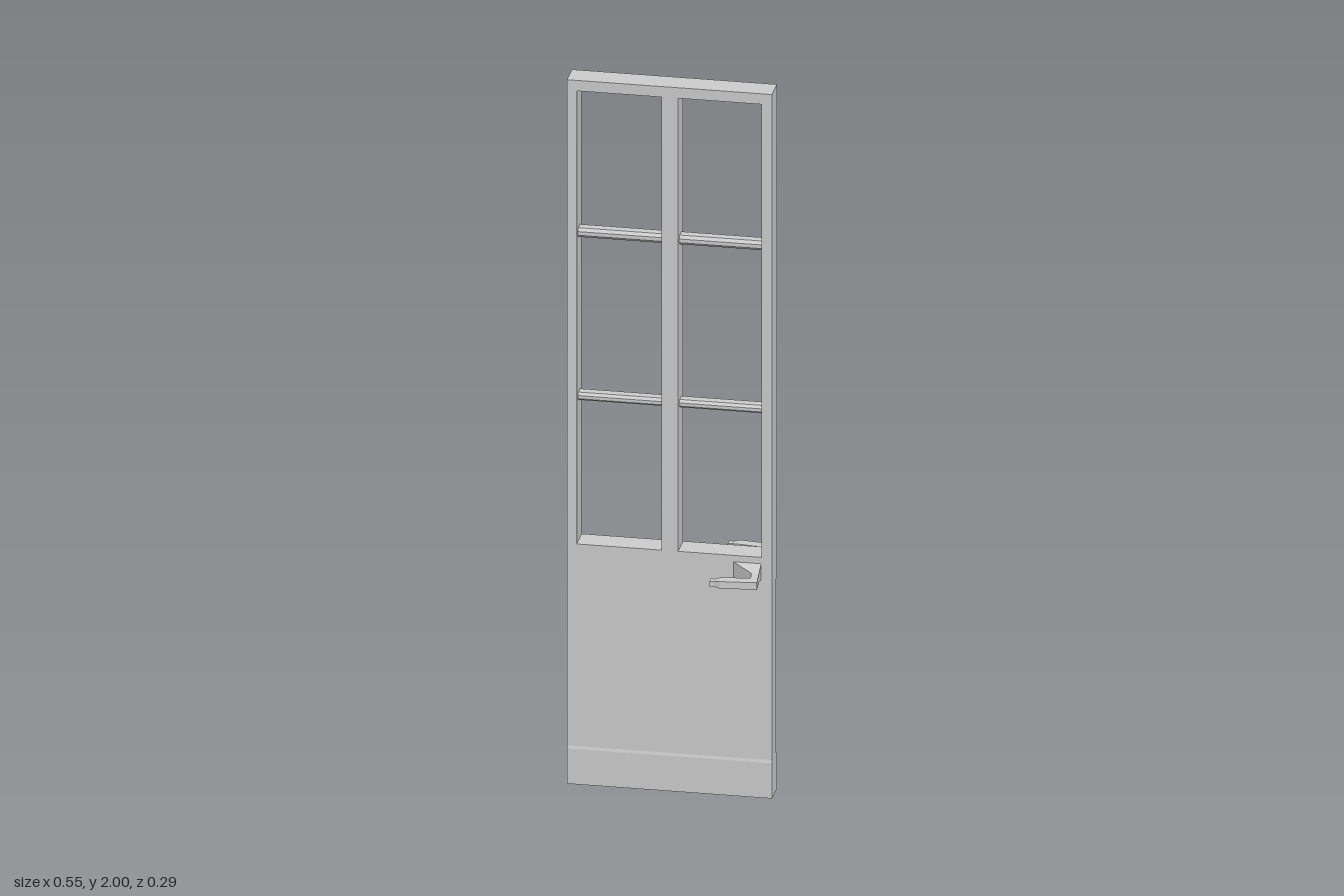
import * as THREE from 'three';

const material = new THREE.MeshStandardMaterial({ color: 0xcccccc, flatShading: true });
const LEFT = 0.272, RIGHT = -0.274, BACK = -0.035, FRONT = 0.035;

export function createModel() {
  const door = new THREE.Group();
  door.name = 'door';

  const add = (name, geometry) => {
    const mesh = new THREE.Mesh(geometry, material);
    mesh.name = name;
    door.add(mesh);
    return mesh;
  };

  // Box given by its limits
  const block = (name, x0, x1, y0, y1, z0 = BACK, z1 = FRONT) =>
    add(name, new THREE.BoxGeometry(x1 - x0, y1 - y0, z1 - z0))
      .position.set((x0 + x1) / 2, (y0 + y1) / 2, (z0 + z1) / 2);

  // Profile of [z, y] points swept along x
  const bar = (name, points, x0, x1) => {
    const shape = new THREE.Shape(points.map(([z, y]) => new THREE.Vector2(-z, y)));
    const geometry = new THREE.ExtrudeGeometry(shape, { depth: x1 - x0, bevelEnabled: false });
    add(name, geometry.rotateY(Math.PI / 2).translate(x0, 0, 0));
  };

  // Lower door: kick rail with sloped top, recessed panel, lock rail
  bar('kickRail', [[FRONT, 0], [BACK, 0], [BACK, 0.095], [-0.022, 0.108], [0.033, 0.108], [FRONT, 0.1]], RIGHT, LEFT);
  block('lowerPanel', RIGHT, LEFT, 0.1, 0.605, -0.022, 0.033);
  block('lockRail', RIGHT, LEFT, 0.6, 0.683);

  // Window frame
  block('rightStile', RIGHT, -0.248, 0.683, 1.97);
  block('leftStile', 0.244, LEFT, 0.683, 1.97);
  block('topRail', RIGHT, LEFT, 1.97, 2);
  block('mullion', -0.023, 0.022, 0.683, 1.97);

  // Chamfered glazing bars
  for (const [y, h] of [[1.094, 0.011], [1.559, 0.013]]) {
    const profile = [[0.02, -0.4], [0.02, 0.4], [0.012, 1], [-0.012, 1], [-0.02, 0.4], [-0.02, -0.4], [-0.012, -1], [0.012, -1]]
      .map(([z, k]) => [z, y + k * h]);
    bar('glazingBar', profile, -0.248, -0.023);
    bar('glazingBar', profile, 0.022, 0.244);
  }

  // Lever handles; the shape is symmetric in y, so half a turn gives the back one
  const geometry = handleGeometry();
  for (const [name, angle] of [['frontHandle', 0], ['backHandle', Math.PI]]) {
    const handle = add(name, geometry);
    handle.position.y = 0.642;
    handle.rotation.x = angle;
  }
  return door;
}

// Loft of rectangular sections: inner x, z, outer x, z, half height
function handleGeometry() {
  const sections = [
    [0.168, 0.034, 0.243, 0.034, 0.023],
    [0.225, 0.078, 0.245, 0.078, 0.012],
    [0.228, 0.106, 0.25, 0.133, 0.01],
    [0.151, 0.114, 0.152, 0.143, 0.01],
    [0.136, 0.121, 0.137, 0.139, 0.007],
    [0.125, 0.119, 0.125, 0.141, 0.007],
  ];
  const positions = [], index = [];
  for (const [xi, zi, xo, zo, h] of sections)
    positions.push(xi, -h, zi, xo, -h, zo, xo, h, zo, xi, h, zi);
  const quad = (a, b, c, d) => index.push(a, b, c, a, c, d);
  for (let s = 0; s < sections.length - 1; s++)
    for (let k = 0; k < 4; k++) {
      const a = s * 4 + k, b = s * 4 + (k + 1) % 4;
      quad(a, b, b + 4, a + 4);
    }
  const end = (sections.length - 1) * 4;
  quad(3, 2, 1, 0);
  quad(end, end + 1, end + 2, end + 3);

  const indexed = new THREE.BufferGeometry();
  indexed.setAttribute('position', new THREE.Float32BufferAttribute(positions, 3));
  indexed.setIndex(index);
  const geometry = indexed.toNonIndexed();
  geometry.computeVertexNormals();
  return geometry;
}
